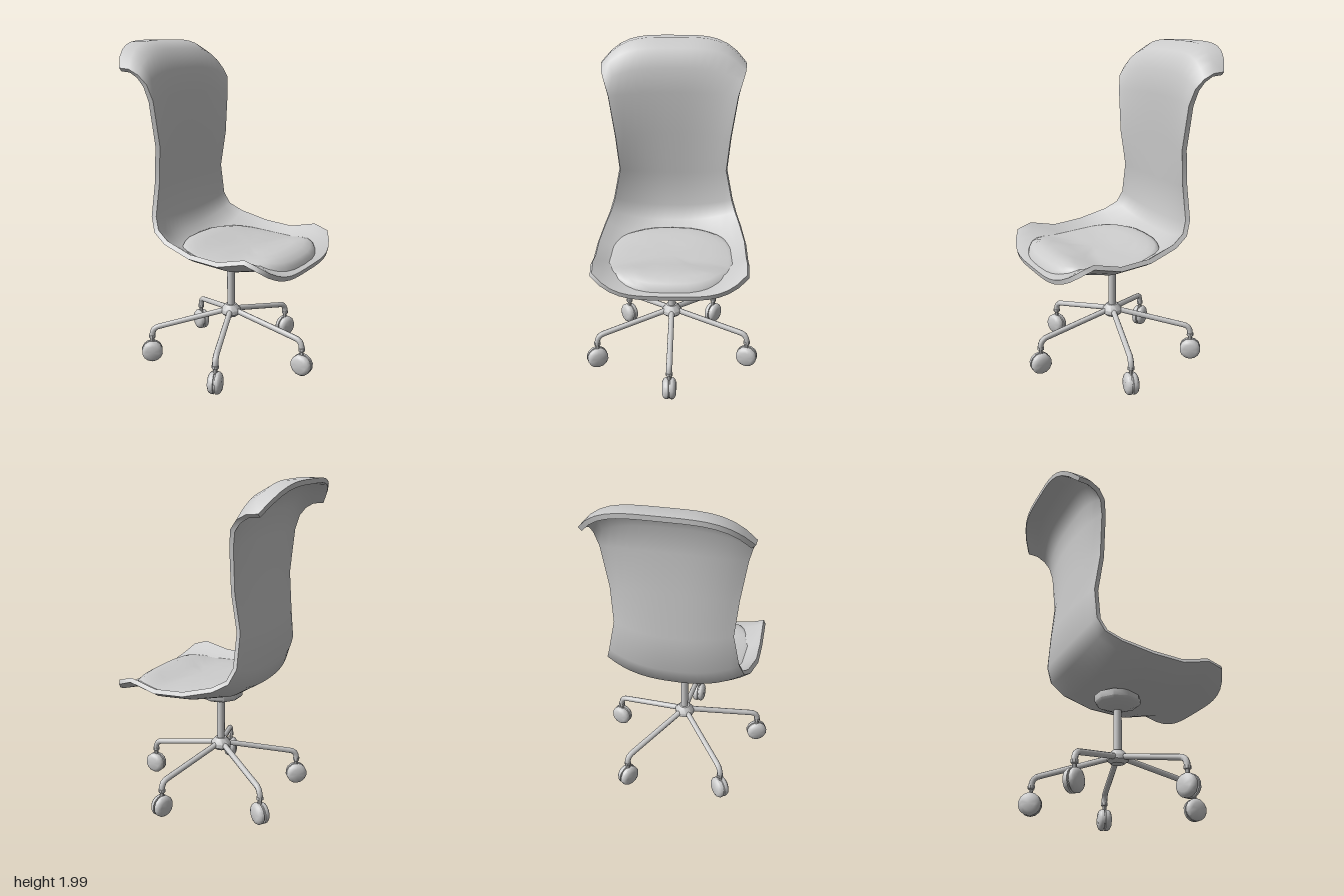
import * as THREE from 'three';
import { mergeVertices, toCreasedNormals } from 'three/addons/utils/BufferGeometryUtils.js';

const material = new THREE.MeshStandardMaterial({ color: 0xcccccc });

// Shell cross-sections from front lip to headrest tip:
// centre x, y, edge x, y, half width, sharpness of the side curl
const SECTIONS = [
  [0.535, 0.692, 0.45, 0.795, 0.45, 4],
  [0.40, 0.72, 0.36, 0.825, 0.455, 3],
  [0.22, 0.685, 0.19, 0.785, 0.46, 3],
  [0.00, 0.705, 0.00, 0.80, 0.46, 3],
  [-0.20, 0.75, -0.18, 0.85, 0.435, 3],
  [-0.315, 0.82, -0.265, 0.90, 0.41, 2.6],
  [-0.352, 0.92, -0.30, 0.98, 0.385, 2.4],
  [-0.352, 1.15, -0.30, 1.18, 0.345, 2.4],
  [-0.322, 1.42, -0.275, 1.40, 0.365, 2.4],
  [-0.325, 1.68, -0.285, 1.66, 0.405, 2.4],
  [-0.325, 1.83, -0.305, 1.75, 0.43, 3],
  [-0.375, 1.935, -0.345, 1.80, 0.443, 4],
  [-0.46, 1.983, -0.40, 1.83, 0.447, 4],
  [-0.562, 1.982, -0.465, 1.835, 0.447, 4],
];

function mesh(name, geometry) {
  const m = new THREE.Mesh(geometry, material);
  m.name = name;
  return m;
}

function indexedGeometry(points, index) {
  const g = new THREE.BufferGeometry().setFromPoints(points);
  g.setIndex(index);
  return g;
}

function lathe(name, profile, sides) {
  const g = new THREE.LatheGeometry(profile.map(p => new THREE.Vector2(...p)), sides);
  g.deleteAttribute('normal');
  g.deleteAttribute('uv');
  return mesh(name, toCreasedNormals(mergeVertices(g), 0.7));
}

// One curved sheet given thickness: seat pan, back and headrest
function shellGeometry() {
  const N = 16, T = 0.014, rows = SECTIONS.length;
  const grid = SECTIONS.map(([cx, cy, ex, ey, w, p]) =>
    Array.from({ length: N + 1 }, (_, j) => {
      const u = (2 * j) / N - 1, f = Math.abs(u) ** p;
      return new THREE.Vector3(cx + (ex - cx) * f, cy + (ey - cy) * f, w * u);
    }));
  const normal = (i, j) => {
    const du = grid[i][Math.min(j + 1, N)].clone().sub(grid[i][Math.max(j - 1, 0)]);
    const dv = grid[Math.min(i + 1, rows - 1)][j].clone().sub(grid[Math.max(i - 1, 0)][j]);
    return dv.cross(du).normalize();
  };
  const points = [], index = [], R = 2 * N + 2;
  for (let i = 0; i < rows; i++) {
    for (let k = 0; k < R; k++) {
      const top = k <= N, j = top ? k : R - 1 - k;
      points.push(grid[i][j].clone().addScaledVector(normal(i, j), top ? T : -T));
    }
  }
  for (let i = 0; i < rows - 1; i++) {
    for (let k = 0; k < R; k++) {
      const a = i * R + k, b = i * R + (k + 1) % R;
      index.push(a, a + R, b, b, a + R, b + R);
    }
  }
  // close the front lip and headrest tip
  const end = (rows - 1) * R;
  for (let j = 0; j < N; j++) {
    const t = j, b = R - 1 - j;
    index.push(b, t, b - 1, t, t + 1, b - 1);
    index.push(end + b, end + b - 1, end + t, end + t, end + b - 1, end + t + 1);
  }
  return toCreasedNormals(indexedGeometry(points, index), 0.9);
}

// Height of the seat pan's centre line at x
function seatY(x) {
  for (let i = 0; i < 5; i++) {
    const [x0, y0] = SECTIONS[i], [x1, y1] = SECTIONS[i + 1];
    if (x >= x1 || i === 4) return y0 + (y1 - y0) * (x - x0) / (x1 - x0);
  }
}

// Rounded-square pad whose rim settles onto the seat pan
function cushionGeometry() {
  const rings = [0.35, 0.65, 0.82, 0.92, 0.975, 1], S = 32;
  const point = (r, a) => {
    const c = Math.cos(a), s = Math.sin(a), e = 2 / 2.8;
    const x = 0.133 + 0.376 * r * Math.sign(c) * Math.abs(c) ** e;
    const z = 0.38 * r * Math.sign(s) * Math.abs(s) ** e;
    const rim = seatY(x) + 0.005 + 0.1 * (Math.abs(z) / 0.46) ** 3;
    const crown = seatY(x) + 0.08;
    return new THREE.Vector3(x, rim + (crown - rim) * Math.sqrt(1 - r ** 6), z);
  };
  const points = [point(0, 0)], index = [];
  rings.forEach((r, i) => {
    for (let k = 0; k < S; k++) {
      points.push(point(r, (k / S) * Math.PI * 2));
      const n = (k + 1) % S, o = 1 + i * S;
      if (i === 0) index.push(0, o + n, o + k);
      else index.push(o - S + k, o - S + n, o + k, o - S + n, o + n, o + k);
    }
  });
  const g = indexedGeometry(points, index);
  g.computeVertexNormals();
  return g;
}

// Leg with bent end, swivel stem and twin wheel, pointing along +x
function makeLeg() {
  const leg = new THREE.Group();
  leg.name = 'leg';
  const path = new THREE.CurvePath();
  const V = (x, y) => new THREE.Vector3(x, y, 0);
  path.add(new THREE.LineCurve3(V(0.03, 0.325), V(0.46, 0.232)));
  path.add(new THREE.QuadraticBezierCurve3(V(0.46, 0.232), V(0.502, 0.224), V(0.503, 0.175)));
  leg.add(mesh('legTube', new THREE.TubeGeometry(path, 24, 0.018, 8)));

  const stem = lathe('casterStem', [[0, 0.10], [0.013, 0.10], [0.013, 0.155], [0.021, 0.16], [0.021, 0.178], [0, 0.178]], 8);
  stem.position.x = 0.503;
  leg.add(stem);

  const wheel = lathe('casterWheel', [
    [0, -0.042], [0.04, -0.042], [0.057, -0.034], [0.066, -0.022], [0.066, -0.005], [0.058, -0.003],
    [0.058, 0.003], [0.066, 0.005], [0.066, 0.022], [0.057, 0.034], [0.04, 0.042], [0, 0.042],
  ], 14);
  wheel.rotation.x = Math.PI / 2;
  wheel.position.set(0.505, 0.07, 0);
  leg.add(wheel);
  return leg;
}

export function createModel() {
  const chair = new THREE.Group();
  chair.name = 'officeChair';

  chair.add(mesh('shell', shellGeometry()));
  chair.add(mesh('seatCushion', cushionGeometry()));

  // Mount, column and hub
  chair.add(lathe('seatMount', [[0, 0.61], [0.035, 0.61], [0.125, 0.645], [0.138, 0.66], [0.138, 0.70], [0, 0.70]], 10));
  const column = mesh('column', new THREE.CylinderGeometry(0.024, 0.024, 0.3, 12));
  column.position.y = 0.48;
  chair.add(column);
  chair.add(lathe('hub', [[0, 0.285], [0.04, 0.285], [0.063, 0.305], [0.063, 0.33], [0.035, 0.363], [0, 0.363]], 10));

  // Five-star base
  for (const degrees of [0, 69, 141.5, -146, -74]) {
    const leg = makeLeg();
    leg.rotation.y = -THREE.MathUtils.degToRad(degrees);
    chair.add(leg);
  }
  return chair;
}
